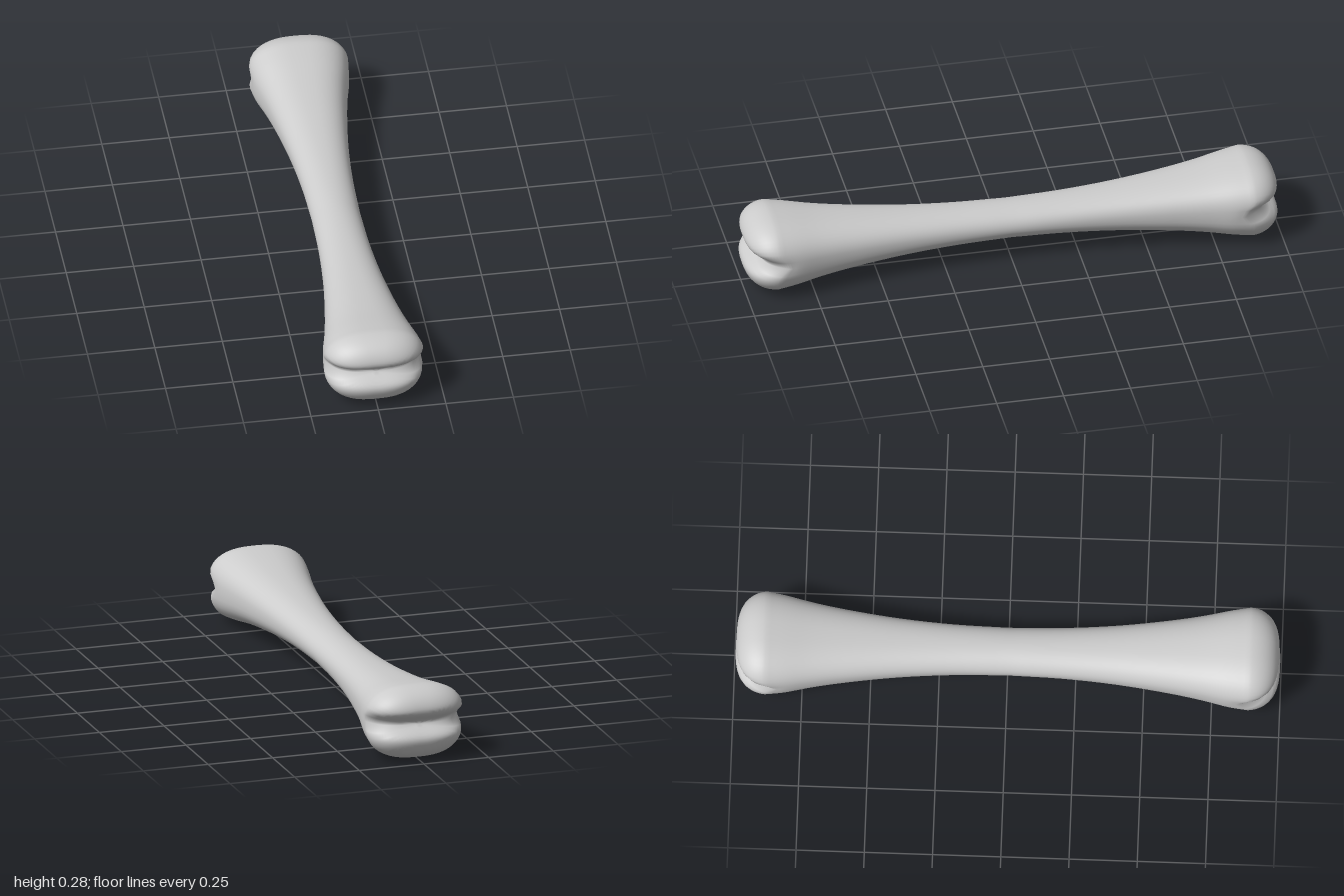
import * as THREE from 'three';
import { mergeVertices } from 'three/addons/utils/BufferGeometryUtils.js';

const MID_Y = 0.141;      // height of the long axis
const NECK_Z = 0.885;     // where the shaft turns into the rounded end
const SIDES = 48, SHAFT_STEPS = 24, CAP_STEPS = 20;

// Shaft half-profile: [z, half width, half height]
const profile = new THREE.CatmullRomCurve3([
  [0, 0.09, 0.065], [0.2, 0.095, 0.068], [0.4, 0.11, 0.078], [0.6, 0.136, 0.096],
  [0.72, 0.157, 0.111], [0.82, 0.179, 0.128], [NECK_Z, 0.19, 0.138],
].map(([z, w, h]) => new THREE.Vector3(w, h, z)));

// Half of the rings, from the middle out to the tip: size, z and squareness
function halfRings() {
  const rings = [];
  for (let i = 0; i <= SHAFT_STEPS; i++) {
    const p = profile.getPoint(i / SHAFT_STEPS);
    rings.push({ w: p.x, h: p.y, z: p.z, n: 2 + 0.6 * p.z / NECK_Z });
  }
  for (let i = CAP_STEPS - 1; i >= 0; i--) {
    const a = Math.PI / 2 * Math.pow(i / CAP_STEPS, 1.4);
    const r = Math.pow(Math.sin(a), 2 / 3);
    rings.push({ w: 0.19 * r, h: 0.138 * r, z: NECK_Z + 0.117 * Math.cos(a), n: 2.6 });
  }
  return rings;
}

const signedPow = (v, e) => Math.sign(v) * Math.pow(Math.abs(v), e);

// One point of a ring, with the groove that splits each end into two knuckles
function bonePoint(ring, angle, side) {
  let x = ring.w * signedPow(Math.cos(angle), 2 / ring.n);
  const y = ring.h * signedPow(Math.sin(angle), 2 / ring.n);
  const nearEnd = THREE.MathUtils.smoothstep(ring.z, 0.78, 0.95);
  const groove = nearEnd * Math.exp(-Math.pow((y - 0.006) / 0.031, 2));
  x *= 1 - 0.1 * groove;
  if (y < 0) x *= 1 - 0.04 * nearEnd * Math.min(1, -y / 0.05);
  return [x, MID_Y + y, side * (ring.z - 0.058 * groove)];
}

function boneGeometry() {
  const half = halfRings();
  const rings = [
    ...half.slice(1).reverse().map((ring) => ({ ring, side: -1 })),
    ...half.map((ring) => ({ ring, side: 1 })),
  ];
  const positions = [], index = [];
  rings.forEach(({ ring, side }, i) => {
    for (let j = 0; j < SIDES; j++) {
      positions.push(...bonePoint(ring, j / SIDES * Math.PI * 2, side));
      if (i === rings.length - 1) continue;
      const a = i * SIDES + j, b = i * SIDES + (j + 1) % SIDES;
      index.push(a, b, a + SIDES, b, b + SIDES, a + SIDES);
    }
  });
  const geometry = new THREE.BufferGeometry();
  geometry.setAttribute('position', new THREE.Float32BufferAttribute(positions, 3));
  geometry.setIndex(index);
  const merged = mergeVertices(geometry);
  merged.computeVertexNormals();
  return merged;
}

export function createModel() {
  const group = new THREE.Group();
  group.name = 'bone';
  // Shaft and both knuckled ends form one smooth surface
  const bone = new THREE.Mesh(boneGeometry(), new THREE.MeshStandardMaterial({ color: 0xcccccc }));
  bone.name = 'boneShaftAndEnds';
  group.add(bone);
  return group;
}
